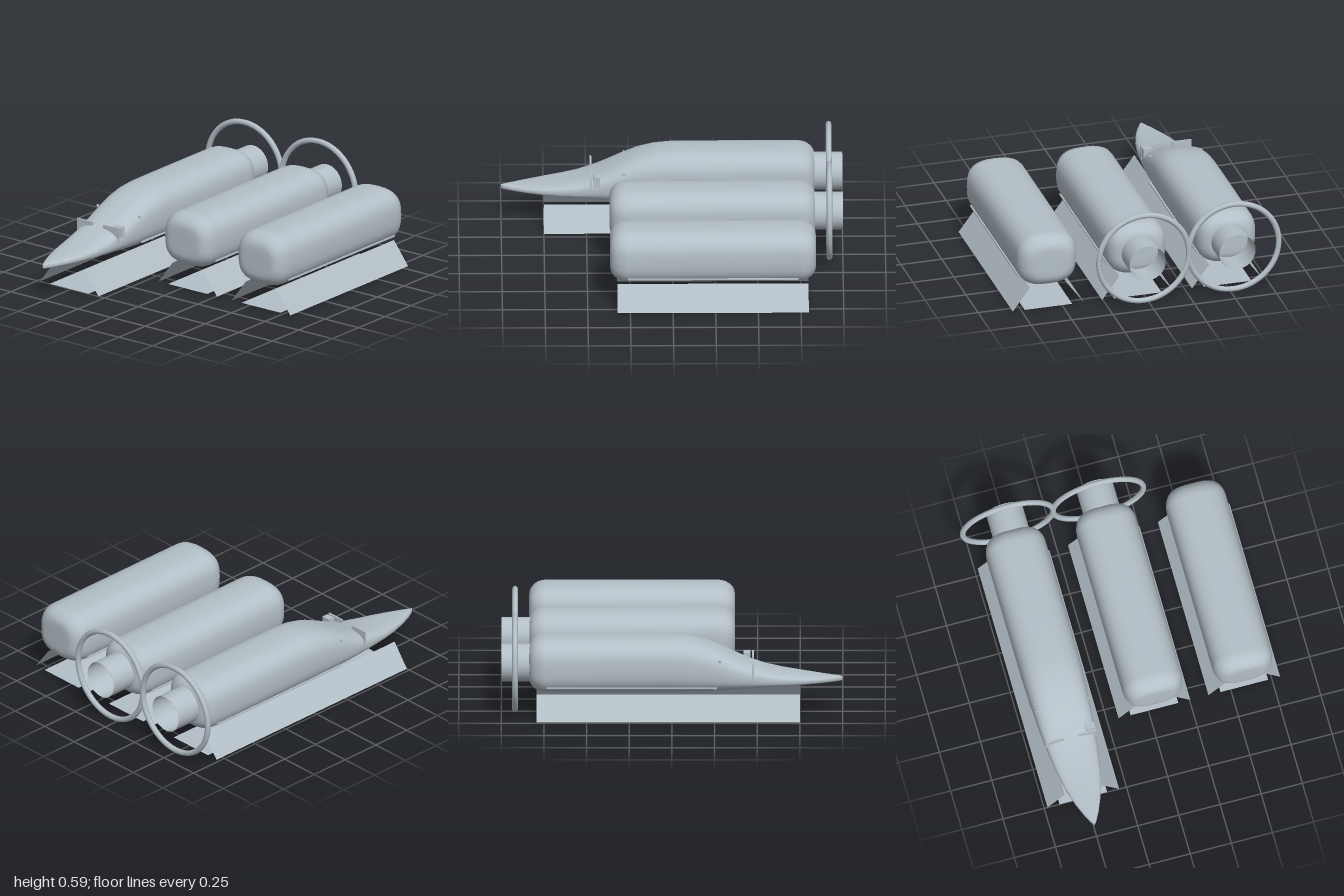
import * as THREE from 'three';

const SIDES = 32;

// Smooth skin through sections [z, halfWidth, bottomY, topY], ordered from back to front
function loft(sections, power = 2.8) {
  const pos = [], idx = [];
  const bend = (v) => Math.sign(v) * Math.pow(Math.abs(v), 2 / power);
  for (const [z, w, lo, hi] of sections) {
    for (let i = 0; i < SIDES; i++) {
      const t = (i / SIDES) * Math.PI * 2;
      pos.push(w * bend(Math.cos(t)), (lo + hi) / 2 + ((hi - lo) / 2) * bend(Math.sin(t)), z);
    }
  }
  for (let j = 0; j < sections.length - 1; j++) {
    for (let i = 0; i < SIDES; i++) {
      const a = j * SIDES + i, b = j * SIDES + ((i + 1) % SIDES);
      idx.push(a, b, a + SIDES, b, b + SIDES, a + SIDES);
    }
  }
  const g = new THREE.BufferGeometry();
  g.setAttribute('position', new THREE.Float32BufferAttribute(pos, 3));
  g.setIndex(idx);
  g.computeVertexNormals();
  return g;
}

// Rounded end of a hull; dir is -1 at the back and +1 at the front
function roundedEnd(zEnd, dir) {
  const list = [[zEnd, 0.0005, 0.302, 0.303], [zEnd, 0.05, 0.255, 0.35]];
  for (let k = 0; k <= 6; k++) {
    const a = (k / 6) * Math.PI / 2;
    const inset = 0.08 * (1 - Math.sin(a));
    list.push([zEnd - dir * 0.1 * (1 - Math.cos(a)), 0.18 - inset, 0.14 + inset, 0.465 - inset]);
  }
  return dir < 0 ? list : list.reverse();
}

// Flat sheet between two lines that run along z
function sheet(x0, y0, x1, y1, zBack, zFront) {
  const g = new THREE.BufferGeometry();
  g.setAttribute('position', new THREE.Float32BufferAttribute(
    [x0, y0, zBack, x0, y0, zFront, x1, y1, zFront, x1, y1, zBack], 3));
  g.setIndex([0, 1, 2, 0, 2, 3]);
  g.computeVertexNormals();
  return g;
}

export function createModel() {
  const model = new THREE.Group();
  const grey = new THREE.MeshStandardMaterial({ color: 0xb4bfc7 });
  grey.name = 'hull grey';
  grey.side = THREE.DoubleSide;

  const add = (parent, name, geometry, x = 0, y = 0, z = 0) => {
    const m = new THREE.Mesh(geometry, grey);
    m.name = name;
    m.position.set(x, y, z);
    parent.add(m);
    return m;
  };

  // Long tapering nose of the first hull
  const nose = [
    [-0.3, 0.18, 0.14, 0.465], [0.0, 0.179, 0.14, 0.464], [0.1, 0.177, 0.141, 0.455],
    [0.2, 0.173, 0.143, 0.43], [0.3, 0.167, 0.149, 0.387], [0.37, 0.162, 0.155, 0.352],
    [0.45, 0.154, 0.163, 0.315], [0.55, 0.142, 0.17, 0.28], [0.65, 0.127, 0.176, 0.258],
    [0.75, 0.107, 0.181, 0.243], [0.85, 0.076, 0.185, 0.232], [0.93, 0.043, 0.188, 0.226],
    [0.98, 0.016, 0.19, 0.223], [1.0, 0.001, 0.195, 0.22],
  ];

  const units = [
    { name: 'nosedHull', x: -0.512, nose: true, tail: true, standFront: 0.75 },
    { name: 'middleHull', x: 0.037, tail: true, standFront: 0.325 },
    { name: 'plainHull', x: 0.583, standFront: 0.325 },
  ];

  for (const u of units) {
    const unit = new THREE.Group();
    unit.name = u.name;
    unit.position.x = u.x;
    model.add(unit);

    add(unit, 'hull', loft([...roundedEnd(-0.838, -1), ...(u.nose ? nose : roundedEnd(0.368, 1))]));

    // Splayed stand with a narrower floor
    add(unit, 'standFloor', sheet(-0.145, 0.001, 0.145, 0.001, -0.795, u.standFront));
    for (const s of [-1, 1]) {
      add(unit, 'standSide', sheet(s * 0.218, 0, s * 0.113, 0.14, -0.795, u.standFront));
      add(unit, 'sideRail', new THREE.BoxGeometry(0.012, 0.008, 1.0), s * 0.161, 0.192, -0.235);
    }

    // Open exhaust pipe and the hoop around it
    if (u.tail) {
      const pipe = new THREE.CylinderGeometry(0.111, 0.111, 0.18, 32, 1, true);
      pipe.rotateX(Math.PI / 2);
      add(unit, 'tailPipe', pipe, 0, 0.302, -0.91);
      add(unit, 'tailHoop', new THREE.TorusGeometry(0.275, 0.017, 8, 64), 0, 0.302, -0.92);
    }

    // Small fins, studs and box on the nose
    if (u.nose) {
      for (const s of [-1, 1]) {
        const fin = new THREE.Shape([[0.04, 0.333], [0.155, 0.333], [0.155, 0.24], [0.135, 0.27],
          [0.1, 0.298], [0.04, 0.312]].map(([x, y]) => new THREE.Vector2(s * x, y)));
        add(unit, 'noseFin', new THREE.ExtrudeGeometry(fin, { depth: 0.01, bevelEnabled: false }), 0, 0, 0.47);
        add(unit, 'stud', new THREE.SphereGeometry(0.009, 10, 8), s * 0.155, 0.355, 0.28);
      }
      add(unit, 'noseBox', new THREE.BoxGeometry(0.056, 0.062, 0.04), 0.126, 0.3, 0.44);
    }
  }
  return model;
}
